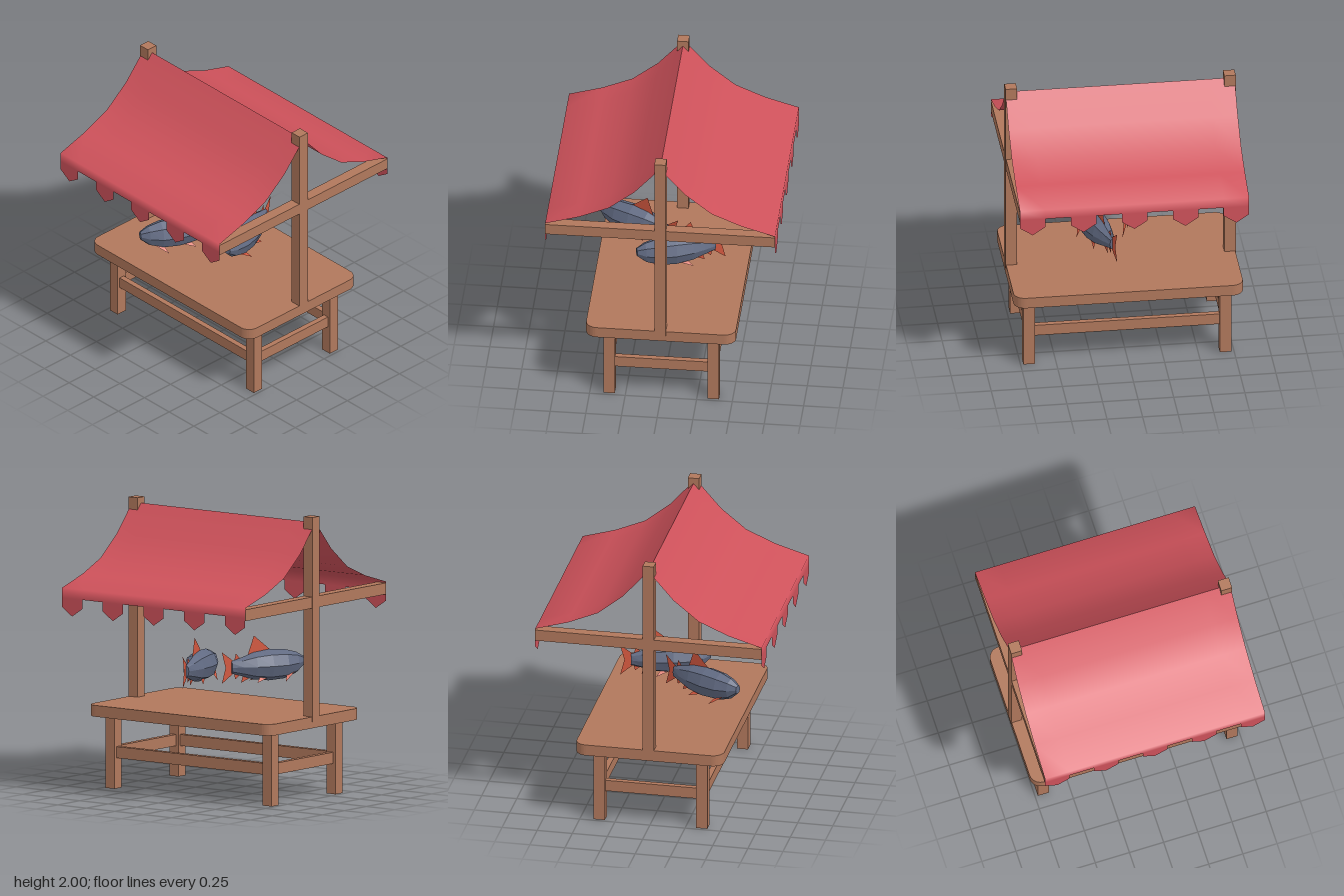
import * as THREE from 'three';

const mat = (name, color, side = THREE.FrontSide) => {
  const m = new THREE.MeshStandardMaterial({ color, side });
  m.name = name;
  return m;
};

export function createModel() {
  const wood = mat('wood', 0xb1785c);
  const cloth = mat('red cloth', 0xcf525b, THREE.DoubleSide);
  const scales = mat('slate fish', 0x616a82);
  const finRed = mat('fin red', 0xd2573f, THREE.DoubleSide);

  const model = new THREE.Group();
  model.name = 'marketStall';

  const add = (parent, name, geometry, material) => {
    const mesh = new THREE.Mesh(geometry, material);
    mesh.name = name;
    parent.add(mesh);
    return mesh;
  };
  const beam = (name, w, h, d, x, y, z) =>
    add(model, name, new THREE.BoxGeometry(w, h, d), wood).position.set(x, y, z);

  // Table top: rounded rectangle in plan
  const hx = 0.525, hz = 0.805, r = 0.08;
  const plan = new THREE.Shape();
  plan.absarc(hx - r, hz - r, r, 0, Math.PI / 2);
  plan.absarc(-hx + r, hz - r, r, Math.PI / 2, Math.PI);
  plan.absarc(-hx + r, -hz + r, r, Math.PI, Math.PI * 1.5);
  plan.absarc(hx - r, -hz + r, r, Math.PI * 1.5, Math.PI * 2);
  const top = new THREE.ExtrudeGeometry(plan, { depth: 0.08, bevelEnabled: false, curveSegments: 5 });
  top.rotateX(-Math.PI / 2).translate(0, 0.515, 0);
  add(model, 'tableTop', top, wood);

  // Legs, rails, posts and cross bars
  for (const s of [-1, 1]) {
    for (const t of [-1, 1]) beam('leg', 0.08, 0.515, 0.08, s * 0.365, 0.2575, t * 0.69);
    beam('longRail', 0.04, 0.08, 1.3, s * 0.365, 0.255, 0);
    beam('shortRail', 0.65, 0.08, 0.04, 0, 0.255, s * 0.69);
    beam('post', 0.08, 1.44, 0.08, 0, 1.28, s * 0.768);
    beam('crossBar', 1.61, 0.08, 0.078, 0, 1.4, s * 0.766);
  }

  // Canopy half: sagging sheet, short valance and five pointed tabs
  const canopyHalf = () => {
    const profile = [[0, 1.96], [0.18, 1.755], [0.36, 1.61], [0.57, 1.52], [0.805, 1.45], [0.806, 1.38]];
    const cols = 9, n = cols + 1, step = 1.61 / cols;
    const pos = [], index = [];
    for (const [x, y] of profile)
      for (let i = 0; i < n; i++) pos.push(x, y, -0.805 + i * step);
    for (let p = 0; p < profile.length - 1; p++)
      for (let i = 0; i < cols; i++) {
        const a = p * n + i, b = a + n;
        index.push(a, a + 1, b, a + 1, b + 1, b);
      }
    for (let i = 0; i < cols; i += 2) {
      const a = (profile.length - 1) * n + i, z = -0.805 + i * step, v = pos.length / 3;
      pos.push(0.806, 1.315, z, 0.806, 1.255, z + step / 2, 0.806, 1.315, z + step);
      index.push(a, a + 1, v, a + 1, v + 2, v, v, v + 2, v + 1);
    }
    const g = new THREE.BufferGeometry();
    g.setAttribute('position', new THREE.Float32BufferAttribute(pos, 3));
    g.setIndex(index);
    g.computeVertexNormals();
    return g;
  };
  add(model, 'canopyLeft', canopyHalf(), cloth);
  add(model, 'canopyRight', canopyHalf(), cloth).rotation.y = Math.PI;

  // Fish body: eight-sided rings as [distance from nose, centre height, half height, half width]
  const rings = [[0, 0.015, 0.03, 0.025], [0.06, 0.005, 0.075, 0.06], [0.15, 0, 0.103, 0.088],
    [0.27, 0, 0.11, 0.095], [0.39, 0, 0.095, 0.078], [0.48, 0, 0.066, 0.05], [0.56, 0, 0.042, 0.02]];
  const fishBody = () => {
    const segs = rings.length - 1;
    const g = new THREE.CylinderGeometry(1, 1, 1, 8, segs).rotateZ(-Math.PI / 2).toNonIndexed();
    const p = g.attributes.position;
    for (let i = 0; i < p.count; i++) {
      const [s, cy, hh, hw] = rings[Math.round((p.getX(i) + 0.5) * segs)];
      p.setXYZ(i, s, cy + p.getY(i) * hh, p.getZ(i) * hw);
    }
    g.computeVertexNormals();
    return g;
  };

  // Fins: lists of triangles in fish space
  const fin = (...points) => {
    const g = new THREE.BufferGeometry();
    g.setAttribute('position', new THREE.Float32BufferAttribute(points.flat(), 3));
    g.computeVertexNormals();
    return g;
  };
  const makeFish = (name, x, z, yaw) => {
    const fish = new THREE.Group();
    fish.name = name;
    add(fish, 'body', fishBody(), scales);
    add(fish, 'dorsalFin', fin([0.25, 0.1, 0], [0.44, 0.06, 0], [0.385, 0.213, 0]), finRed);
    add(fish, 'rearFin', fin([0.49, 0.055, 0], [0.54, 0.04, 0], [0.525, 0.095, 0]), finRed);
    add(fish, 'analFin', fin([0.41, -0.08, 0], [0.47, -0.06, 0], [0.485, -0.113, 0]), finRed);
    add(fish, 'lowerRearFin', fin([0.49, -0.055, 0], [0.54, -0.04, 0], [0.53, -0.085, 0]), finRed);
    add(fish, 'tailFin', fin(
      [0.54, 0.04, 0], [0.605, 0, 0], [0.635, 0.112, 0],
      [0.54, -0.04, 0], [0.635, -0.112, 0], [0.605, 0, 0],
      [0.54, 0.04, 0], [0.54, -0.04, 0], [0.605, 0, 0]), finRed);
    for (const s of [-1, 1]) {
      add(fish, 'pectoralFin', fin([0.09, -0.05, s * 0.05], [0.16, -0.07, s * 0.06], [0.185, -0.112, s * 0.1]), finRed);
      add(fish, 'pelvicFin', fin([0.3, -0.085, s * 0.045], [0.36, -0.08, s * 0.04], [0.39, -0.113, s * 0.065]), finRed);
    }
    fish.position.set(x, 0.867, z);
    fish.rotation.y = THREE.MathUtils.degToRad(yaw);
    model.add(fish);
  };
  makeFish('frontFish', -0.22, 0.265, 18);
  makeFish('backFish', -0.53, -0.29, -26);

  return model;
}
